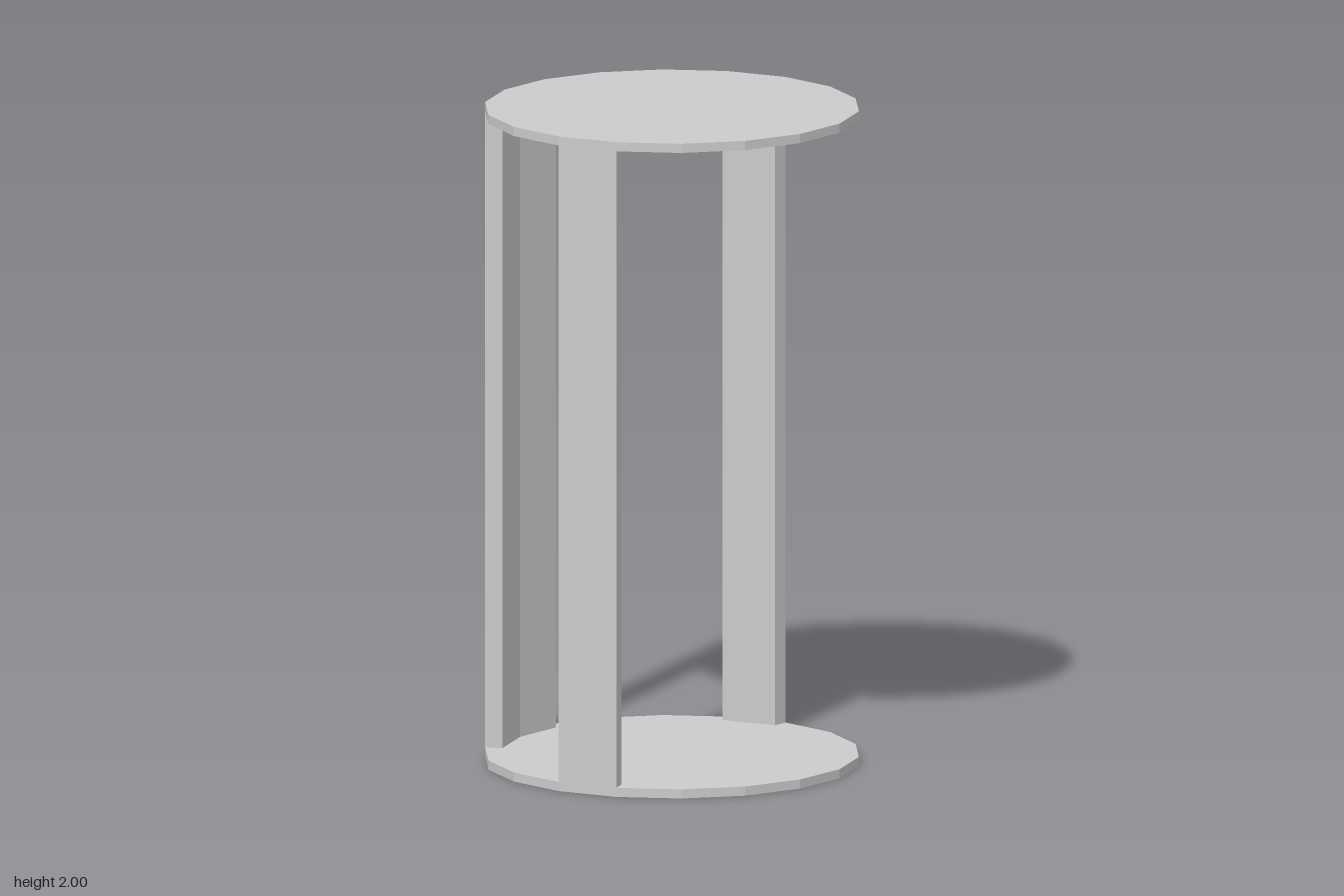
import * as THREE from 'three';

const SIDES = 18, STEP = (Math.PI * 2) / SIDES;
const OUTER = 0.564, INNER = 0.511, HEIGHT = 2, PLATE = 0.028;

export function createModel() {
  const group = new THREE.Group();
  const material = new THREE.MeshStandardMaterial({ color: 0xcccccc, flatShading: true });

  const add = (name, geometry, y) => {
    const mesh = new THREE.Mesh(geometry, material);
    mesh.name = name;
    mesh.position.y = y;
    group.add(mesh);
  };

  // Round end plates, with corners on the x axis
  const plate = new THREE.CylinderGeometry(OUTER, OUTER, PLATE, SIDES, 1, false, Math.PI / 2);
  add('bottomPlate', plate, PLATE / 2);
  add('topPlate', plate, HEIGHT - PLATE / 2);

  // Upright wall following the rim over a number of sides, centred on an angle
  const wall = (name, centre, sides) => {
    const points = [];
    const start = centre - (sides * STEP) / 2;
    const corner = (r, i) => {
      const a = start + i * STEP;
      points.push(new THREE.Vector2(r * Math.cos(a), r * Math.sin(a)));
    };
    for (let i = 0; i <= sides; i++) corner(OUTER, i);
    for (let i = sides; i >= 0; i--) corner(INNER, i);
    const geometry = new THREE.ExtrudeGeometry(new THREE.Shape(points), {
      depth: HEIGHT - 2 * PLATE, bevelEnabled: false,
    });
    geometry.rotateX(-Math.PI / 2);
    add(name, geometry, PLATE);
  };

  wall('frontPost', -Math.PI / 2, 1);
  wall('backPost', Math.PI / 2, 1);
  wall('rightWall', Math.PI, 2);

  return group;
}
